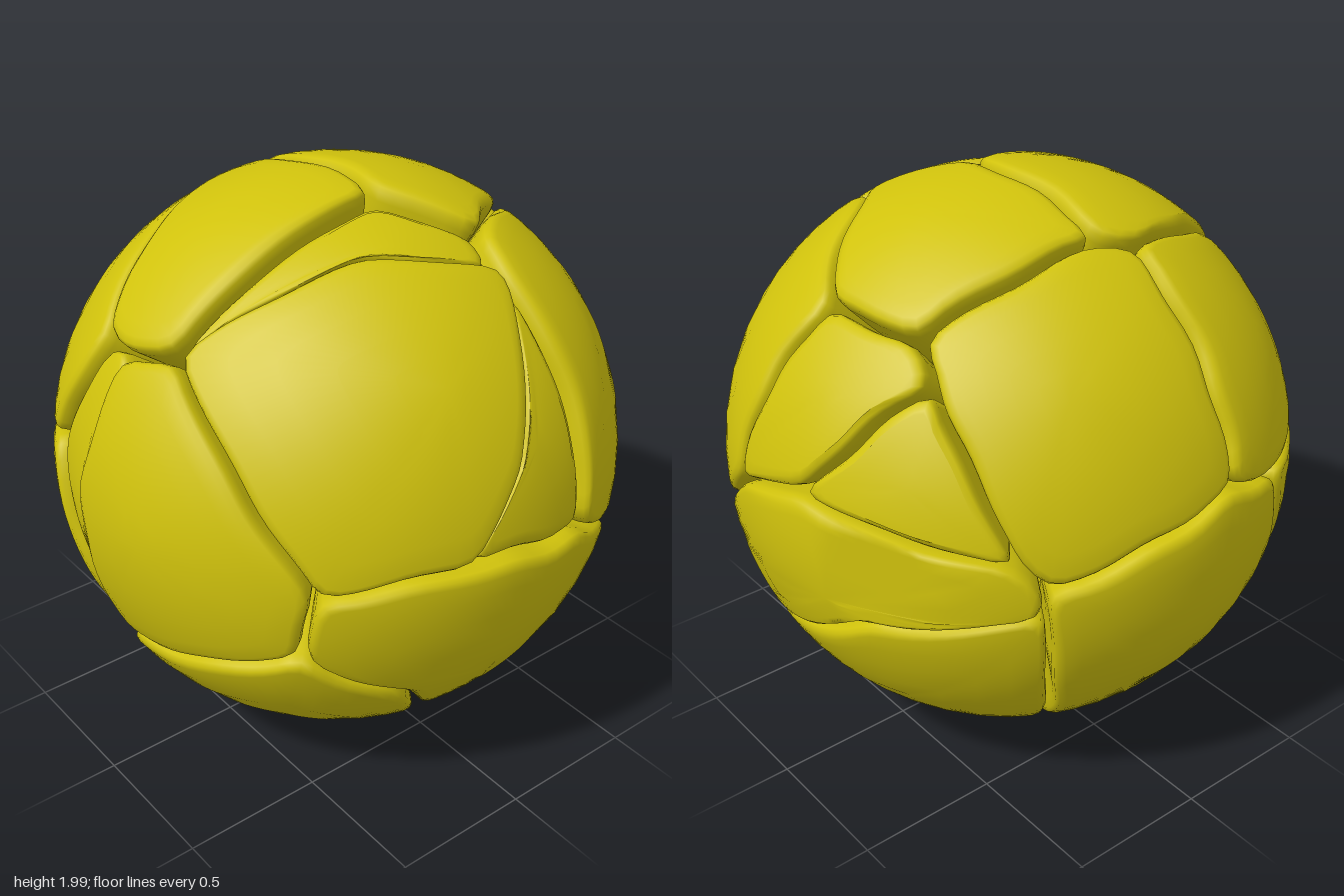
import * as THREE from 'three';

const V = (x, y, z) => new THREE.Vector3(x, y, z);
const RADIUS = 0.987;

// Crack junctions and bends on the ball: the letters name the shards that meet there.
const JUNCTIONS = [
  ['CDU', -0.16, 0.57, 0.81], ['ADU', -0.04, 0.57, 0.82], ['ADES', 0.17, 0.63, 0.76],
  ['AEG', 0.74, 0, 0.67], ['AFG', 0.69, -0.25, 0.68], ['AFU', -0.04, -0.47, 0.88],
  ['BFU', -0.14, -0.68, 0.72], ['BCU', -0.39, 0.13, 0.91],
  ['BU', -0.34, -0.05, 0.94], ['BU', -0.24, -0.25, 0.94],
  ['AU', -0.13, 0.1, 0.98], ['AU', -0.09, -0.3, 0.95],
  ['FG', 0.8, -0.5, 0.33], ['FG', 0.63, -0.76, 0.13],
  ['CDJ', -0.48, 0.87, 0.11], ['DIJ', -0.45, 0.89, 0], ['DIS', 0.2, 0.98, -0.02],
  ['HIS', 0.43, 0.87, -0.25], ['EHS', 0.55, 0.8, -0.22], ['ES', 0.39, 0.89, 0.2],
  ['EHT', 0.62, 0.75, -0.22], ['ET', 0.8, 0.57, -0.13], ['ET', 0.95, 0.28, 0.02],
  ['EGT', 0.97, 0.05, 0.22], ['GHT', 0.95, -0.03, -0.3],
  ['HIK', 0.03, 0.71, -0.7], ['IJK', -0.34, 0.7, -0.62],
  ['JKL', -0.45, 0.6, -0.66], ['KLM', -0.16, 0.21, -0.96], ['HKM', 0.22, 0.08, -0.97],
  ['JLM', -0.79, 0.08, -0.6], ['JMP', -0.85, 0, -0.52], ['MPR', -0.85, -0.09, -0.52],
  ['CJP', -0.97, 0.18, 0.14], ['BCP', -0.9, 0.1, 0.42], ['BFP', -0.22, -0.87, 0.44],
  ['FPR', -0.16, -0.98, -0.04], ['FGR', 0.05, -0.98, -0.19], ['GMR', 0.5, -0.47, -0.73],
  ['GHM', 0.61, -0.29, -0.73],
  ['MR', -0.06, -0.375, -0.92], ['MR', -0.42, -0.19, -0.89],
].map(([cells, x, y, z]) => ({ cells, p: V(x, y, z).normalize() }));

const SHARDS = {
  A: 'frontShard', B: 'frontLowerShard', C: 'frontUpperShard', D: 'topFrontShard',
  E: 'leftUpperShard', F: 'bottomFrontShard', G: 'leftLowerShard', H: 'backLeftShard',
  I: 'topShard', J: 'rightUpperShard', K: 'smallBackShard', L: 'smallSideShard',
  M: 'backBandShard', P: 'rightLowerShard', R: 'bottomBackShard',
  S: 'topLedge', T: 'leftLedge', U: 'frontLedge',
};

// Ledges where the skin has broken away sit lower; top and bottom shards stand out.
const LIFT = { S: 0.965, T: 0.97, U: 0.965, D: 1.01, I: 1.01, F: 1.01 };

// Flat chips knocked off some shards: plane normal and distance from the centre.
const chip = (x, y, z, h) => ({ n: V(x, y, z).normalize(), h });
const CHIPS = {
  M: [chip(-0.45, 0, -0.89, 0.975)],
  B: [chip(-0.75, -0.6, 0.3, 0.965)],
};

// Rows from the middle of a shard over its rim and down its wall:
// share of the way to the crack, set-back from the crack, radius.
const ROWS = [
  [0.2, 0, 1], [0.4, 0, 1], [0.6, 0, 1], [0.78, 0, 1], [1, 0.055, 0.999],
  [1, 0.03, 0.993], [1, 0.018, 0.979], [1, 0.012, 0.95], [1, 0.012, 0.85],
  [1, 0.018, 0.7], [0.9, 0.02, 0.55],
];

// Small uneven shift that depends only on position, so neighbours still fit.
function wobble(p) {
  const s = 0.011;
  return p.clone().add(V(
    s * Math.sin(17 * p.y + 9 * p.z), s * Math.sin(19 * p.z + 7 * p.x),
    s * Math.sin(15 * p.x + 11 * p.y))).normalize();
}

// Rounded outline of one shard, counter-clockwise from outside.
function outlineOf(key) {
  const corners = JUNCTIONS.filter(j => j.cells.includes(key)).map(j => j.p);
  const c = corners.reduce((sum, p) => sum.add(p), V(0, 0, 0)).normalize();
  const u = V(0.31, 0.52, 0.79).cross(c).normalize();
  const v = c.clone().cross(u);
  const angle = p => Math.atan2(p.dot(v), p.dot(u));
  corners.sort((a, b) => angle(a) - angle(b));

  const pts = [];
  corners.forEach((a, i) => {
    const b = corners[(i + 1) % corners.length];
    const steps = Math.max(2, Math.round(a.angleTo(b) / 0.055));
    for (let k = 0; k < steps; k++) pts.push(wobble(a.clone().lerp(b, k / steps).normalize()));
  });
  const n = pts.length;
  const smooth = pts.map((p, i) => p.clone().multiplyScalar(2)
    .add(pts[(i + 1) % n]).add(pts[(i + n - 1) % n]).normalize());
  return { c, pts: smooth };
}

function shardGeometry(key) {
  const { c, pts } = outlineOf(key);
  const n = pts.length;
  const pos = [], index = [];
  const size = RADIUS * (LIFT[key] || 1);
  const put = (dir, r) => {
    const p = dir.clone().multiplyScalar(r);
    for (const { n: normal, h } of CHIPS[key] || []) {
      const reach = p.dot(normal);
      if (reach > h) p.multiplyScalar(h / reach);
    }
    p.multiplyScalar(size);
    pos.push(p.x, p.y, p.z);
  };

  put(c, 1);
  for (const [share, back, r] of ROWS) {
    for (const p of pts) {
      const t = share - back / c.angleTo(p);
      put(c.clone().lerp(p, t).normalize(), r);
    }
  }
  put(c, 0.5);

  const last = 1 + ROWS.length * n;
  for (let i = 0; i < n; i++) {
    const j = (i + 1) % n;
    index.push(0, 1 + i, 1 + j);
    for (let k = 0; k < ROWS.length - 1; k++) {
      const a = 1 + k * n, b = a + n;
      index.push(a + i, b + i, b + j, a + i, b + j, a + j);
    }
    index.push(last - n + i, last, last - n + j);
  }
  const g = new THREE.BufferGeometry();
  g.setAttribute('position', new THREE.Float32BufferAttribute(pos, 3));
  g.setIndex(index);
  g.computeVertexNormals();
  return g;
}

export function createModel() {
  const group = new THREE.Group();
  group.name = 'crackedBall';
  const material = new THREE.MeshStandardMaterial({ color: 0xd0c20c });
  for (const [key, name] of Object.entries(SHARDS)) {
    const mesh = new THREE.Mesh(shardGeometry(key), material);
    mesh.name = name;
    mesh.position.y = RADIUS * LIFT.F;
    group.add(mesh);
  }
  return group;
}
